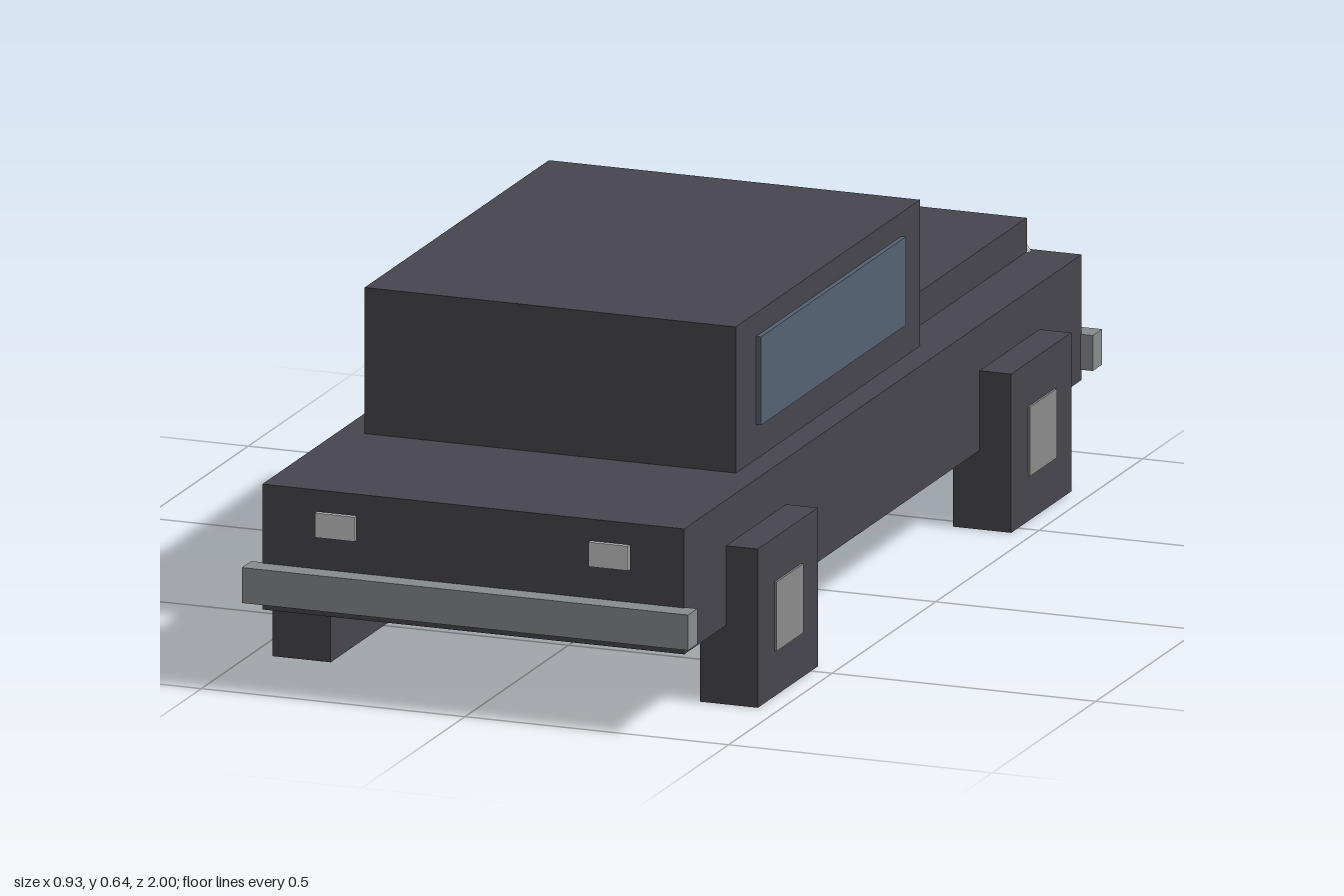
import * as THREE from 'three';

const mat = (name, color) => {
  const m = new THREE.MeshStandardMaterial({ color });
  m.name = name;
  return m;
};

export function createModel() {
  const car = new THREE.Group();
  car.name = 'car';

  const paint = mat('charcoal paint', 0x47464e);
  const chrome = mat('bumper grey', 0x898c8e);
  const hub = mat('hub grey', 0x8b8b8b);
  const glass = mat('blue glass', 0x546273);
  const lamp = mat('lamp white', 0xcacaca);
  lamp.flatShading = true;

  // Box given by its lower and upper limits on each axis
  const box = (name, material, [x0, x1], [y0, y1], [z0, z1], parent = car) => {
    const mesh = new THREE.Mesh(new THREE.BoxGeometry(x1 - x0, y1 - y0, z1 - z0), material);
    mesh.position.set((x0 + x1) / 2, (y0 + y1) / 2, (z0 + z1) / 2);
    mesh.name = name;
    parent.add(mesh);
    return mesh;
  };

  // Body shell
  box('body', paint, [-0.4, 0.4], [0.145, 0.375], [-0.96, 0.96]);
  box('cabin', paint, [-0.352, 0.352], [0.375, 0.643], [-0.302, 0.588]);
  box('hood', paint, [-0.303, 0.303], [0.375, 0.437], [-0.942, -0.302]);

  // Windscreen at the hood end
  box('windscreen', glass, [-0.31, 0.31], [0.42, 0.6], [-0.311, -0.302]);

  // Bumpers at both ends
  box('hoodEndBumper', chrome, [-0.423, 0.423], [0.165, 0.23], [-1, -0.955]);
  box('trunkEndBumper', chrome, [-0.423, 0.423], [0.165, 0.23], [0.955, 1]);

  for (const [side, s] of [['left', 1], ['right', -1]]) {
    const span = (a, b) => (s > 0 ? [a, b] : [-b, -a]);

    box(side + 'SideWindow', glass, span(0.352, 0.361), [0.438, 0.6], [-0.21, 0.49]);
    box(side + 'TailLight', lamp, span(0.222, 0.297), [0.29, 0.335], [0.96, 0.969]);

    // Faceted headlight
    const light = new THREE.Mesh(new THREE.SphereGeometry(0.056, 6, 3), lamp);
    light.position.set(s * 0.26, 0.347, -0.948);
    light.name = side + 'Headlight';
    car.add(light);

    // Square wheels with hub plates
    for (const [end, z] of [['HoodEnd', -0.612], ['TrunkEnd', 0.612]]) {
      const wheel = new THREE.Group();
      wheel.name = side + end + 'Wheel';
      box('tyre', paint, span(0.35, 0.46), [0, 0.291], [z - 0.145, z + 0.145], wheel);
      box('hubPlate', hub, span(0.455, 0.464), [0.083, 0.21], [z - 0.065, z + 0.065], wheel);
      car.add(wheel);
    }
  }
  return car;
}
